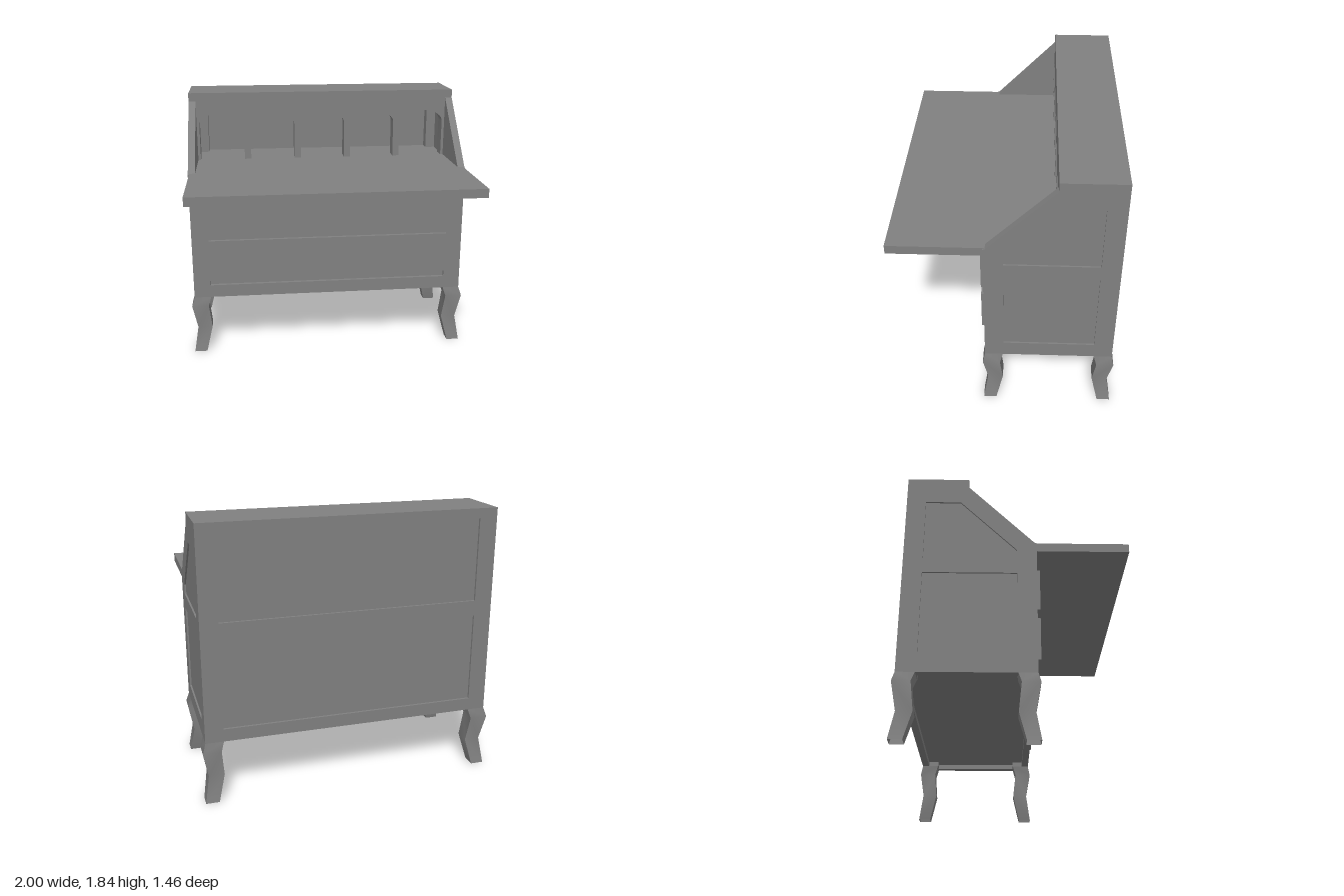
import * as THREE from 'three';
import { toCreasedNormals } from 'three/addons/utils/BufferGeometryUtils.js';

const material = new THREE.MeshStandardMaterial({ color: 0x808080, side: THREE.DoubleSide });

function mesh(name, geometry) {
  const m = new THREE.Mesh(geometry, material);
  m.name = name;
  return m;
}

// Box given by its limits on each axis
function box(name, x0, x1, y0, y1, z0, z1) {
  const g = new THREE.BoxGeometry(x1 - x0, y1 - y0, z1 - z0);
  g.translate((x0 + x1) / 2, (y0 + y1) / 2, (z0 + z1) / 2);
  return mesh(name, g);
}

const shapeOf = (pts) => new THREE.Shape(pts.map(([x, y]) => new THREE.Vector2(x, y)));
const rect = (x0, x1, y0, y1) => [[x0, y0], [x1, y0], [x1, y1], [x0, y1]];
const extrude = (shape, depth) =>
  new THREE.ExtrudeGeometry(shape, { depth, bevelEnabled: false, curveSegments: 16 });

// Flat frame with thinner panels set into its openings; outer face at z = depth
function panelledFrame(name, outline, openings, depth, recess) {
  const group = new THREE.Group();
  group.name = name;
  const frame = shapeOf(outline);
  for (const o of openings) {
    frame.holes.push(shapeOf(o));
    group.add(mesh(name + 'Panel', extrude(shapeOf(o), depth - recess)));
  }
  group.add(mesh(name + 'Frame', extrude(frame, depth)));
  return group;
}

// Board with a row of five elliptical arches open at the bottom
function archBoard() {
  const s = new THREE.Shape();
  const half = 0.163, spring = 1.605, rise = 0.087, base = 1.345;
  s.moveTo(-0.93, 1.78);
  s.lineTo(-0.93, base);
  for (let i = -2; i <= 2; i++) {
    const c = i * 0.374;
    s.lineTo(c - half, base);
    s.lineTo(c - half, spring);
    s.absellipse(c, spring, half, rise, Math.PI, 0, true, 0);
    s.lineTo(c + half, base);
  }
  s.lineTo(0.93, base);
  s.lineTo(0.93, 1.78);
  const g = extrude(s, 0.1);
  g.translate(0, 0, -0.41);
  return mesh('pigeonholeArches', toCreasedNormals(g, 0.5));
}

// Bent square leg, hollow at the foot, lofted through sections of
// [height, outer x offset, outer z offset, inner offset]
function leg(name, cornerX, cornerZ, sx, sz) {
  const sections = [
    [0, 0.016, 0.014, 0.073], [0.183, -0.014, -0.016, 0.118], [0.36, 0.02, 0.015, 0.1],
    [0.425, 0, 0, 0.12], [0.5, -0.002, -0.002, 0.12],
  ];
  const pos = [], index = [];
  for (const [y, ox, oz, i] of sections) {
    for (const [a, b] of [[ox, oz], [-i, oz], [-i, -i], [ox, -i]]) {
      pos.push(cornerX + sx * a, y, cornerZ + sz * b);
    }
  }
  for (let r = 0; r < 4 * (sections.length - 1); r += 4) {
    for (let j = 0; j < 4; j++) {
      const a = r + j, b = r + (j + 1) % 4;
      if (sx * sz > 0) index.push(a, a + 4, b + 4, a, b + 4, b);
      else index.push(a, b + 4, a + 4, a, b, b + 4);
    }
  }
  const g = new THREE.BufferGeometry();
  g.setAttribute('position', new THREE.Float32BufferAttribute(pos, 3));
  g.setIndex(index);
  return mesh(name, toCreasedNormals(g, 0.8));
}

export function createModel() {
  const model = new THREE.Group();
  model.name = 'writingBureau';

  // Sloping side walls, each with two recessed panels
  const sideOutline = [[0.135, 0.425], [0.135, 1.34], [0.12, 1.345], [-0.31, 1.78], [-0.715, 1.78], [-0.715, 0.425]];
  const sideOpenings = [
    rect(-0.59, 0.01, 0.535, 1.115),
    [[0.01, 1.22], [0.01, 1.285], [-0.36, 1.655], [-0.59, 1.655], [-0.59, 1.22]],
  ];
  for (const s of [1, -1]) {
    const map = (pts) => pts.map(([z, y]) => [-s * z, y]);
    const side = panelledFrame(s > 0 ? 'leftSide' : 'rightSide', map(sideOutline), sideOpenings.map(map), 0.05, 0.011);
    side.rotation.y = s * Math.PI / 2;
    side.position.x = s * 0.93;
    model.add(side);
  }

  // Back with two recessed panels
  const back = panelledFrame('back', rect(-0.93, 0.93, 0.425, 1.78),
    [rect(-0.86, 0.86, 0.51, 1.115), rect(-0.86, 0.86, 1.22, 1.775)], 0.05, 0.016);
  back.rotation.y = Math.PI;
  back.position.z = -0.665;
  model.add(back);

  // Front frame with a narrow slot under the flap and a recess below the lower drawer
  const frontOutline = [
    [-0.93, 0.425], [0.93, 0.425], [0.93, 1.285], [0.86, 1.285],
    [0.86, 1.273], [-0.86, 1.273], [-0.86, 1.285], [-0.93, 1.285],
  ];
  const front = panelledFrame('front', frontOutline,
    [rect(-0.86, 0.86, 0.515, 0.86), rect(-0.86, 0.86, 0.92, 1.21)], 0.05, 0.025);
  front.position.z = 0.085;
  model.add(front);
  model.add(box('lowerDrawer', -0.86, 0.86, 0.57, 0.86, 0.1, 0.16));
  model.add(box('upperDrawer', -0.86, 0.86, 0.92, 1.21, 0.1, 0.16));

  // Top, desk surface, open flap and bottom
  model.add(box('top', -0.98, 0.98, 1.78, 1.84, -0.715, -0.31));
  model.add(box('deskSurface', -0.93, 0.93, 1.285, 1.345, -0.69, 0.115));
  model.add(box('openFlap', -0.97, 0.97, 1.285, 1.345, 0.115, 0.73));
  model.add(box('bottom', -0.93, 0.93, 0.46, 0.48, -0.67, 0.09));
  model.add(archBoard());

  // Corner posts and legs
  for (const sx of [1, -1]) {
    const [x0, x1] = sx > 0 ? [0.86, 0.94] : [-0.94, -0.86];
    model.add(box('backPost', x0, x1, 0.426, 1.78, -0.7, -0.59));
    model.add(box('frontPost', x0, x1, 0.426, 1.285, 0.01, 0.1));
    model.add(leg('frontLeg', sx * 0.98, 0.135, sx, 1));
    model.add(leg('backLeg', sx * 0.98, -0.715, sx, -1));
  }
  return model;
}
